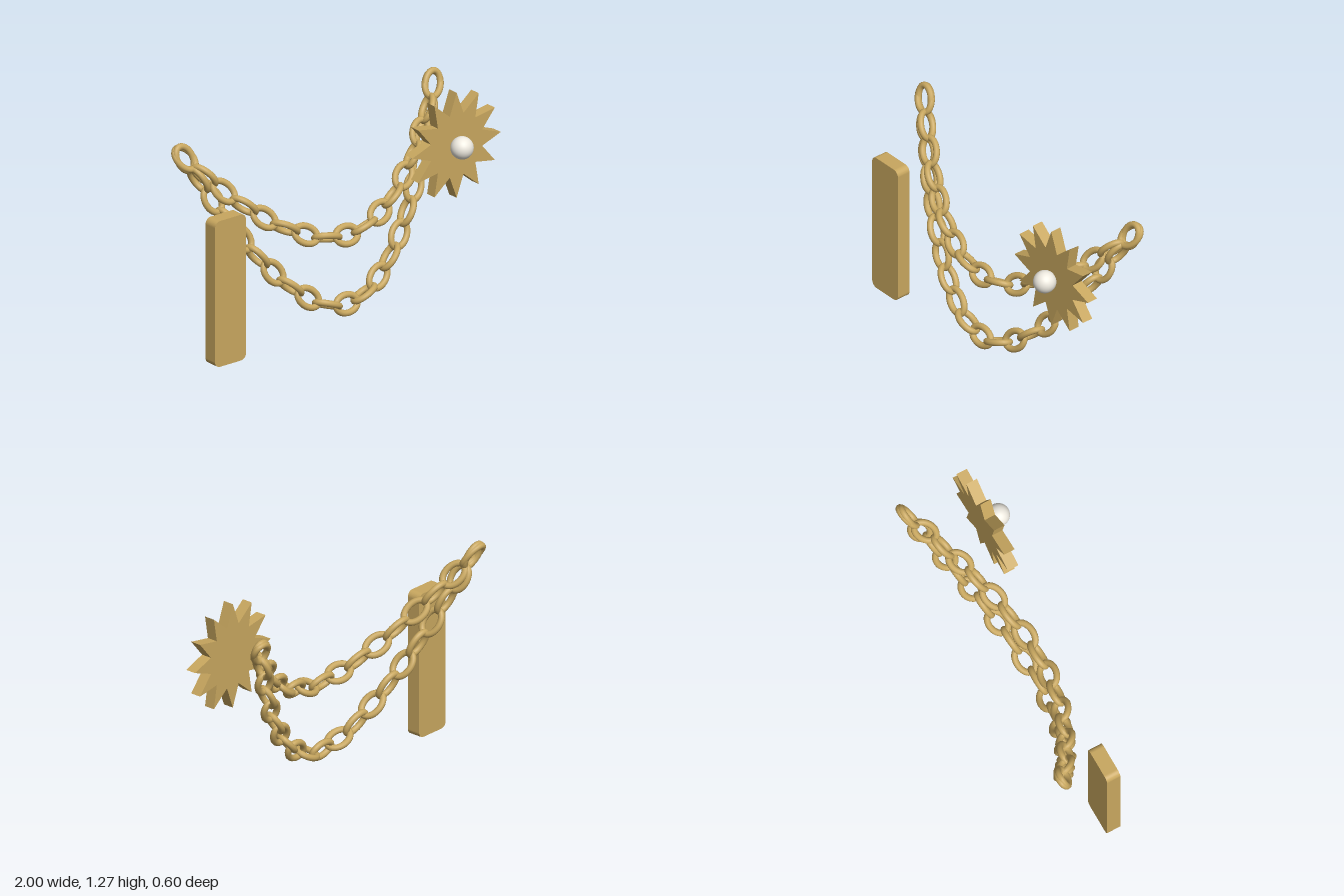
import * as THREE from 'three';

const gold = new THREE.MeshStandardMaterial({ color: 0xc8a75f });
const pearl = new THREE.MeshStandardMaterial({ color: 0xeeeae0 });

const MID_X = -0.033; // plane of symmetry of the hanging chains
const HALF = 0.889; // half span of the chains
const TOP_Y = 1.145; // height of the end links
const DEPTH = 0.338; // how far the ends lie behind the middle

// One oval link: long axis x, short axis y, normal z
class Oval extends THREE.Curve {
  getPoint(t, target = new THREE.Vector3()) {
    const a = t * Math.PI * 2;
    return target.set(0.077 * Math.cos(a), 0.051 * Math.sin(a), 0);
  }
}
const linkGeometry = new THREE.TubeGeometry(new Oval(), 32, 0.019, 10, true);

// Half of a hanging chain, lying in a plane that leans back
class Sag extends THREE.Curve {
  constructor(low, side) {
    super();
    this.low = low;
    this.side = side;
  }
  getPoint(t, target = new THREE.Vector3()) {
    const rise = Math.pow(t, 1.9);
    return target.set(
      MID_X + this.side * HALF * t,
      this.low + (TOP_Y - this.low) * rise,
      0.085 - DEPTH * rise
    );
  }
}

function makeChain(name, low, steps) {
  const chain = new THREE.Group();
  chain.name = name;
  // normal of the leaning plane, shared by all links of the chain
  const across = new THREE.Vector3(0, DEPTH, TOP_Y - low).normalize();
  for (const side of [-1, 1]) {
    const curve = new Sag(low, side);
    for (let i = side < 0 ? 0 : 1; i <= steps; i++) {
      const s = i / steps;
      const u = s * (0.94 + 0.06 * s);
      const tangent = curve.getTangentAt(u).multiplyScalar(side);
      const normal = new THREE.Vector3().crossVectors(across, tangent);
      // every other link is turned a quarter about the chain
      const basis = i % 2 === 0
        ? new THREE.Matrix4().makeBasis(tangent, normal, across)
        : new THREE.Matrix4().makeBasis(tangent, across.clone().negate(), normal);
      const link = new THREE.Mesh(linkGeometry, gold);
      link.name = 'chainLink';
      link.quaternion.setFromRotationMatrix(basis);
      link.position.copy(curve.getPointAt(u));
      chain.add(link);
    }
  }
  return chain;
}

// Upright bar with rounded corners
function makePlate() {
  const w = 0.111, h = 0.44, r = 0.036;
  const shape = new THREE.Shape();
  shape.absarc(w - r, h - r, r, 0, Math.PI / 2);
  shape.absarc(-w + r, h - r, r, Math.PI / 2, Math.PI);
  shape.absarc(-w + r, -h + r, r, Math.PI, Math.PI * 1.5);
  shape.absarc(w - r, -h + r, r, Math.PI * 1.5, Math.PI * 2);
  shape.closePath();
  const geometry = new THREE.ExtrudeGeometry(shape, { depth: 0.085, bevelEnabled: false, curveSegments: 8 });
  const plate = new THREE.Mesh(geometry, gold);
  plate.name = 'barPlate';
  plate.position.set(-0.867, 0.44, 0);
  return plate;
}

// Twelve-pointed star with a pearl in front
function makeStar() {
  const group = new THREE.Group();
  group.name = 'starOrnament';
  const points = [];
  for (let i = 0; i < 24; i++) {
    const r = i % 2 ? 0.19 : 0.317;
    const a = (i / 24) * Math.PI * 2;
    points.push(new THREE.Vector2(r * Math.cos(a), r * Math.sin(a)));
  }
  const star = new THREE.Mesh(
    new THREE.ExtrudeGeometry(new THREE.Shape(points), { depth: 0.067, bevelEnabled: false }), gold);
  star.name = 'star';
  star.position.z = 0.113;
  const bead = new THREE.Mesh(new THREE.SphereGeometry(0.066, 32, 20), pearl);
  bead.name = 'pearl';
  bead.position.z = 0.228;
  group.add(star, bead);
  group.position.set(0.68, 0.955, 0);
  return group;
}

export function createModel() {
  const model = new THREE.Group();
  model.name = 'chainOrnament';
  model.add(
    makeChain('upperChain', 0.565, 8),
    makeChain('lowerChain', 0.15, 10),
    makePlate(),
    makeStar()
  );
  return model;
}
